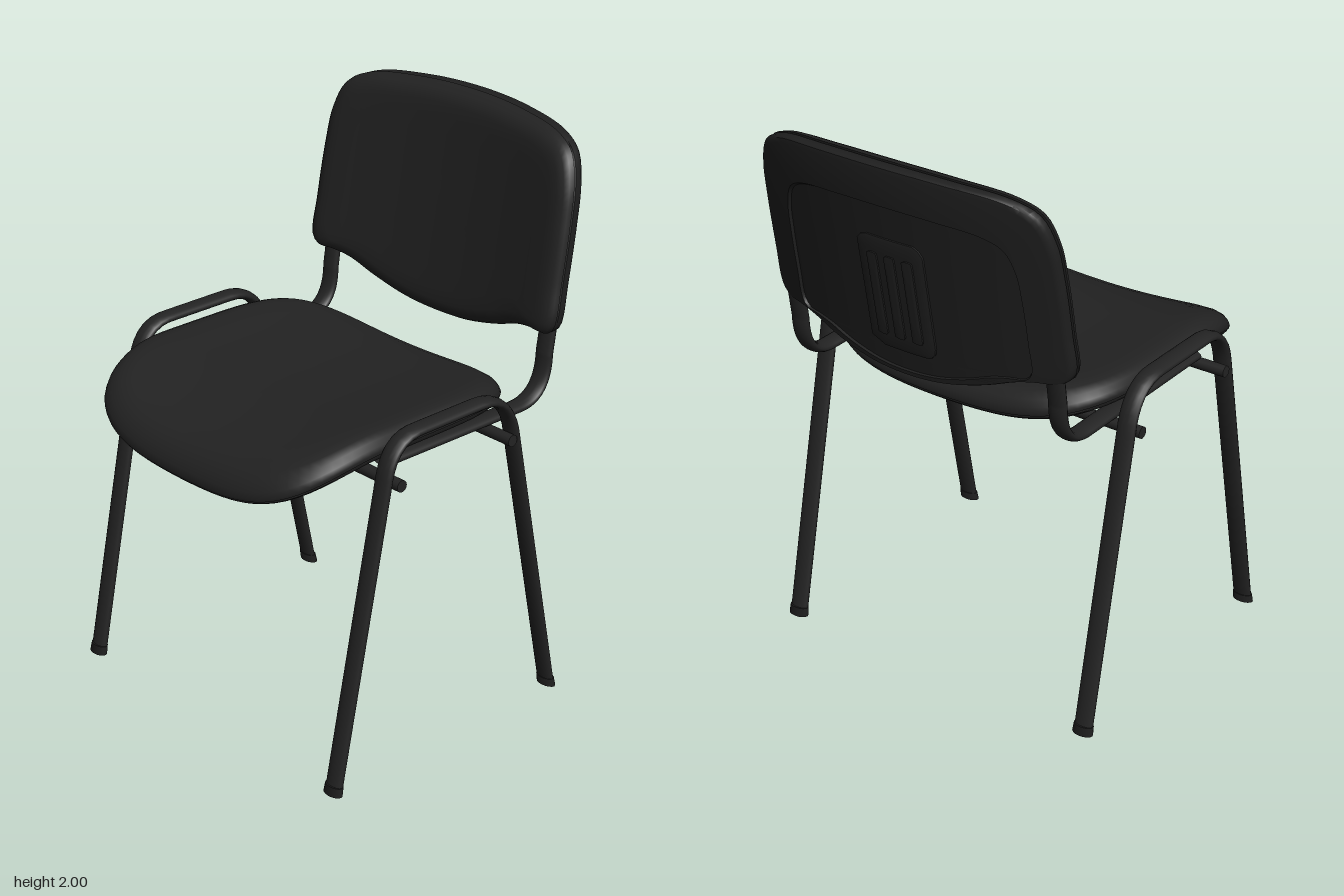
import * as THREE from 'three';
import { toCreasedNormals } from 'three/addons/utils/BufferGeometryUtils.js';

const material = (name, color) => Object.assign(new THREE.MeshStandardMaterial({ color }), { name });

// Closed outline mirrored from the right half (bottom centre up to top centre)
function mirroredOutline(half, count) {
  const left = half.slice(1, -1).reverse().map(([x, y]) => [-x, y]);
  const points = [...half, ...left].map(([x, y]) => new THREE.Vector3(x, y, 0));
  return new THREE.CatmullRomCurve3(points, true).getSpacedPoints(count).slice(0, count);
}

// Pad: rings of [scale, height] around a centre, listed from front centre to back
// centre; each point is then placed by a bending rule
function pad(outline, cx, cy, profile, place) {
  const n = outline.length, pos = [], idx = [];
  for (const [s, w] of profile) {
    for (const p of outline) pos.push(...place(cx + (p.x - cx) * s, cy + (p.y - cy) * s, w));
  }
  for (let i = 0; i < profile.length - 1; i++) {
    for (let j = 0; j < n; j++) {
      const a = i * n + j, d = i * n + (j + 1) % n;
      idx.push(a, a + n, d + n, a, d + n, d);
    }
  }
  const g = new THREE.BufferGeometry();
  g.setAttribute('position', new THREE.Float32BufferAttribute(pos, 3));
  g.setIndex(idx);
  return toCreasedNormals(g, 0.75);
}

// Flat oval tube in the yz plane; corners are rounded between [z, y] points
function ovalTube(start, bends, end) {
  const v = ([z, y]) => new THREE.Vector3(0, y, z);
  const path = new THREE.CurvePath();
  let from = v(start);
  for (const [a, control, b] of bends) {
    path.add(new THREE.LineCurve3(from, v(a)));
    path.add(new THREE.QuadraticBezierCurve3(v(a), v(control), v(b)));
    from = v(b);
  }
  path.add(new THREE.LineCurve3(from, v(end)));
  return new THREE.TubeGeometry(path, 90, 0.0175, 14).scale(2.05, 1, 1);
}

// Seat: dished across, curling down at the front and a little at the back
function placeSeat(x, b, w) {
  const z = -b;
  const front = Math.max(0, z - 0.3), back = Math.max(0, -0.2 - z);
  return [x, 1.11 + w + 0.18 * x * x - 0.7 * front * front - 0.6 * back * back, z];
}

// Backrest: leaning back and wrapping forward at the sides
function placeBack(x, y, w) {
  const k = (x / 0.55) ** 2;
  return [x, y, -0.515 - 0.175 * (y - 1.3) + 0.075 * k + w * (1 - 0.2 * k)];
}

export function createModel() {
  const fabric = material('black fabric', 0x222222);
  const plastic = material('black plastic', 0x1f1f1f);
  const metal = material('black metal', 0x232323);
  const group = new THREE.Group();
  const add = (name, geometry, mat) => {
    const mesh = new THREE.Mesh(geometry, mat);
    mesh.name = name;
    group.add(mesh);
    return mesh;
  };
  const inner = [0, 0.15, 0.3, 0.45, 0.6, 0.75];
  const front = (w) => inner.map((s) => [s, w]);
  const back = (w) => front(w).reverse();

  // Seat cushion and its lower shell
  const seatOutline = [];
  for (let i = 0; i < 112; i++) {
    const t = (i / 112) * Math.PI * 2, c = Math.cos(t), s = Math.sin(t);
    const r = 1 / (c ** 4 + s ** 4) ** 0.25;
    seatOutline.push({ x: 0.585 * r * c, y: -0.158 + 0.545 * r * s });
  }
  add('seatCushion', pad(seatOutline, 0, -0.158, [
    ...front(0.052), [0.86, 0.05], [0.92, 0.042], [0.965, 0.026], [0.99, 0.006], [1, -0.012],
    [0.995, -0.024], [0.98, -0.028], ...back(-0.028)], placeSeat), fabric);
  add('seatShell', pad(seatOutline, 0, -0.158, [
    ...front(-0.02), [0.985, -0.024], [0.985, -0.034], [0.97, -0.044], [0.94, -0.048],
    ...back(-0.048)], placeSeat), plastic);

  // Backrest cushion and rear shell with a recessed field
  const backOutline = mirroredOutline([
    [0, 1.22], [0.15, 1.23], [0.3, 1.265], [0.42, 1.306], [0.5, 1.32], [0.565, 1.326], [0.592, 1.36],
    [0.593, 1.5], [0.588, 1.7], [0.575, 1.83], [0.535, 1.925], [0.45, 1.968], [0.25, 1.992], [0, 2]], 140);
  add('backrestCushion', pad(backOutline, 0, 1.62, [
    ...front(0.055), [0.86, 0.054], [0.92, 0.048], [0.965, 0.034], [0.99, 0.014], [1, -0.01],
    ...back(-0.01)], placeBack), fabric);
  add('backrestShell', pad(backOutline, 0, 1.3, [
    ...front(-0.012), [0.99, -0.012], [0.998, -0.02], [0.998, -0.05], [0.99, -0.06], [0.97, -0.064],
    [0.79, -0.064], [0.78, -0.052], ...back(-0.052)], placeBack), plastic);

  // Raised vent panel with three upright ribs
  const plate = (name, x, w, y0, y1, inside, outside) => {
    const r = w * 0.2;
    const shape = new THREE.Shape([
      [w, y0 + r], [w, y1 - r], [w - r, y1], [r - w, y1], [-w, y1 - r], [-w, y0 + r], [r - w, y0], [w - r, y0],
    ].map(([px, py]) => new THREE.Vector2(x + px, py)));
    const s = 1 - 0.008 / w;
    add(name, pad(shape.getSpacedPoints(48).slice(0, 48), x, (y0 + y1) / 2, [
      ...front(inside), [1, inside], [1, outside + 0.003], [s, outside], ...back(outside).filter((p) => p[0] < s),
    ], placeBack), plastic);
  };
  plate('ventPanel', 0, 0.13, 1.31, 1.73, -0.045, -0.062);
  for (const x of [-0.07, 0, 0.07]) plate('ventRib', x, 0.02, 1.36, 1.67, -0.055, -0.071);

  // Side frames, back supports and feet
  for (const side of [-1, 1]) {
    const frame = ovalTube([0.588, 0.01], [
      [[0.37, 1.08], [0.345, 1.212], [0.23, 1.212]],
      [[-0.05, 1.212], [-0.175, 1.212], [-0.21, 1.08]]], [-0.435, 0.01]);
    add('legFrame', frame, metal).position.x = side * 0.624;

    const support = ovalTube([0.33, 1.085], [[[-0.33, 1.08], [-0.465, 1.08], [-0.468, 1.24]]], [-0.5, 1.45]);
    add('backSupport', support, metal).position.x = side * 0.53;

    for (const [z, lean] of [[0.588, -0.2], [-0.435, 0.2]]) {
      const foot = new THREE.CylinderGeometry(0.022, 0.023, 0.032, 16).scale(1.72, 1, 1);
      const p = foot.attributes.position;
      for (let i = 0; i < p.count; i++) p.setZ(i, p.getZ(i) + lean * p.getY(i));
      add('foot', foot, plastic).position.set(side * 0.624, 0.016, z);
    }
  }

  // Cross rods under the seat
  for (const [z, y] of [[0.33, 1.058], [-0.18, 1.05]]) {
    const rod = new THREE.CylinderGeometry(0.021, 0.021, 1.33, 16).rotateZ(Math.PI / 2);
    add('crossRod', rod, metal).position.set(0, y, z);
  }
  return group;
}
